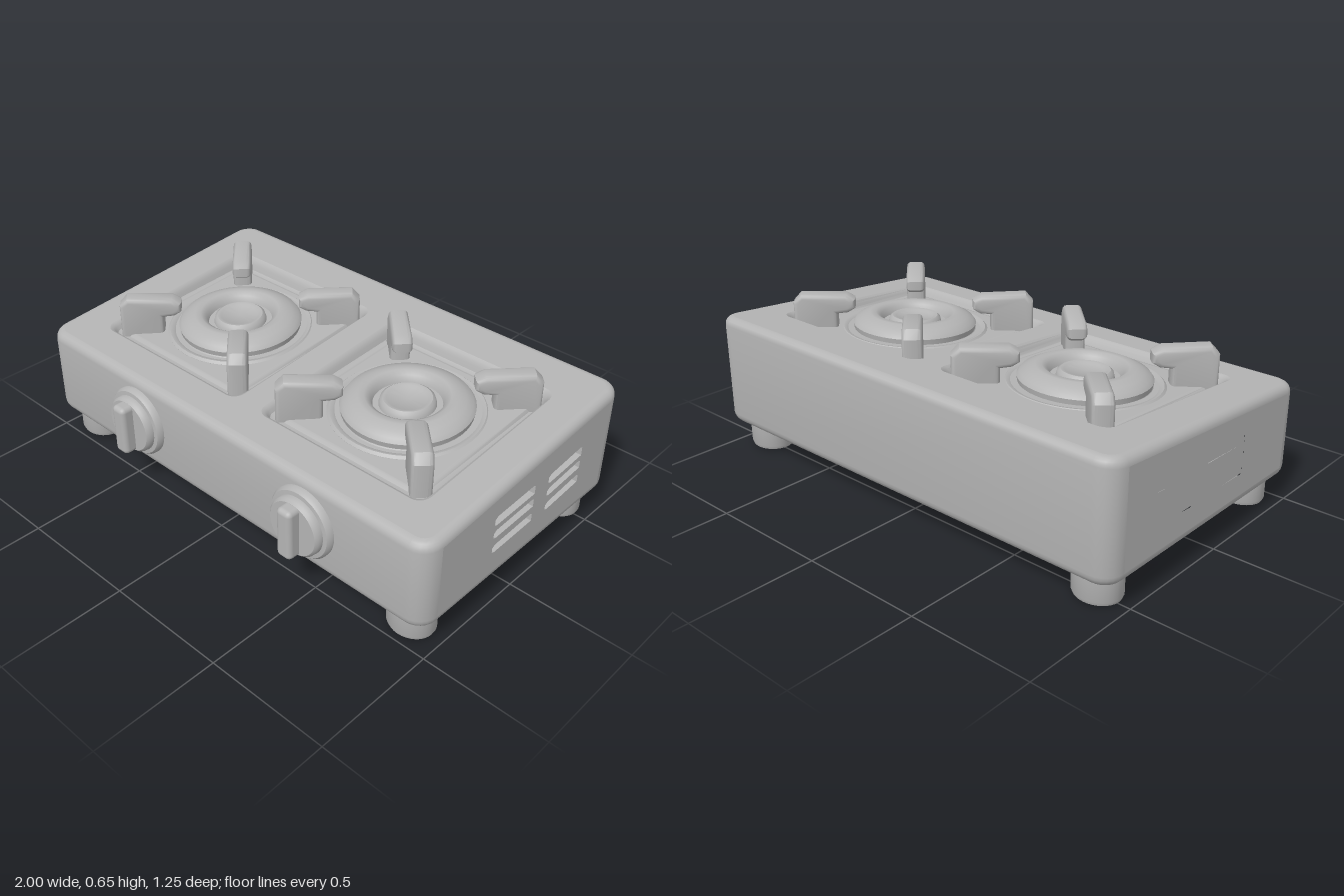
import * as THREE from 'three';
import { toCreasedNormals } from 'three/addons/utils/BufferGeometryUtils.js';
import { RoundedBoxGeometry } from 'three/addons/geometries/RoundedBoxGeometry.js';

const CZ = -0.0525, HX = 1, HZ = 0.5725, R = 0.08, STEPS = 6;
const BOTTOM = 0.11, RB = 0.045, RT = 0.035;
const BURNERS = [-0.435, 0.455], BURNER_Z = -0.04;
const WELL_Z = -0.03, WELL = 0.39;
const topY = (z) => 0.485 + (0.52 - z) * 0.079; // sloping top

// Rounded rectangle as a list of [x, z]
function roundRect(cx, cz, hx, hz, r) {
  const pts = [];
  for (let k = 0; k < 4; k++) {
    const sx = k === 0 || k === 3 ? 1 : -1, sz = k < 2 ? 1 : -1;
    for (let i = 0; i <= STEPS; i++) {
      const a = (k + i / STEPS) * Math.PI / 2;
      pts.push([cx + sx * (hx - r) + r * Math.cos(a), cz + sz * (hz - r) + r * Math.sin(a)]);
    }
  }
  return pts;
}

const ring = (pts, yOf) => pts.map(([x, z]) => [x, yOf(z), z]);

// Skin over rings; skip(i, j) leaves a face open
function loft(rings, skip = () => false) {
  const pos = [];
  for (let i = 0; i < rings.length - 1; i++) {
    const lo = rings[i], hi = rings[i + 1], n = lo.length;
    for (let j = 0; j < n; j++) {
      if (skip(i, j)) continue;
      const k = (j + 1) % n;
      pos.push(...lo[j], ...hi[j], ...lo[k], ...lo[k], ...hi[j], ...hi[k]);
    }
  }
  const g = new THREE.BufferGeometry();
  g.setAttribute('position', new THREE.Float32BufferAttribute(pos, 3));
  return toCreasedNormals(g, 0.7);
}

// Horizontal cap facing up or down, following a height rule
function cap(outline, holes, yOf, up = true) {
  const s = up ? -1 : 1;
  const toV = (list) => list.map(([x, z]) => new THREE.Vector2(x, s * z));
  const shape = new THREE.Shape(toV(outline));
  holes.forEach((h) => shape.holes.push(new THREE.Path(toV(h))));
  const g = new THREE.ShapeGeometry(shape).rotateX(s * Math.PI / 2);
  const p = g.attributes.position;
  for (let i = 0; i < p.count; i++) p.setY(i, yOf(p.getZ(i)));
  g.computeVertexNormals();
  return g;
}

const lathe = (pts, seg = 48) => toCreasedNormals(
  new THREE.LatheGeometry(pts.map(([x, y]) => new THREE.Vector2(x, y)), seg), 0.75);

export function createModel() {
  const root = new THREE.Group();
  root.name = 'twoBurnerStove';
  const grey = new THREE.MeshStandardMaterial({ color: 0xb4b4b4 });
  grey.name = 'grey';
  const add = (name, geo, parent = root) => {
    const m = new THREE.Mesh(geo, grey);
    m.name = name;
    parent.add(m);
    return m;
  };

  // Casing: rounded lower edge, straight wall, rounded upper edge
  const inset = (d) => roundRect(0, CZ, HX - d, HZ - d, R - d);
  const rings = [], ARC = 5;
  for (let i = 0; i <= ARC; i++) {
    const a = i / ARC * Math.PI / 2;
    rings.push(ring(inset(RB * (1 - Math.sin(a))), () => BOTTOM + RB * (1 - Math.cos(a))));
  }
  for (let i = 0; i <= ARC; i++) {
    const a = i / ARC * Math.PI / 2;
    rings.push(ring(inset(RT * (1 - Math.cos(a))), (z) => topY(z) - RT * (1 - Math.sin(a))));
  }
  const last = 4 * (STEPS + 1) - 1, mid = 2 * (STEPS + 1) - 1;
  add('casing', loft(rings, (i, j) => i === ARC && (j === last || j === mid)));
  add('casingBottom', cap(inset(RB), [], () => BOTTOM, false));
  const wells = BURNERS.map((x) => roundRect(x, WELL_Z, WELL, WELL, 0.05));
  add('topPlate', cap(inset(RT), wells, topY));

  // Side walls with sunken vent slots
  const slots = [];
  for (const [z0, z1, rise] of [[0.15, -0.085, 0.006], [-0.17, -0.38, 0.014]]) {
    for (const [y, h] of [[0.365, 0.04], [0.308, 0.036], [0.243, 0.036]]) {
      slots.push([[z0, y + 0.004], [z0 - 0.012, y], [z1, y + rise], [z1, y + h + rise - 0.006],
        [z1 + 0.01, y + h + rise], [z0 - 0.015, y + h - 0.002], [z0, y + h - 0.012]]);
    }
  }
  const zf = CZ + HZ - R, zb = CZ - HZ + R, depth = 0.025;
  for (const s of [1, -1]) {
    const toV = (list) => list.map(([z, y]) => new THREE.Vector2(-s * z, y));
    const wall = new THREE.Shape(toV([[zf, BOTTOM + RB], [zb, BOTTOM + RB],
      [zb, topY(zb) - RT], [zf, topY(zf) - RT]]));
    slots.forEach((p) => wall.holes.push(new THREE.Path(toV(p))));
    const g = new THREE.ExtrudeGeometry(wall, { depth, bevelEnabled: false });
    add('ventedSide', g.rotateY(s * Math.PI / 2)).position.x = s * (HX - depth);
    add('ventBack', new THREE.BoxGeometry(0.02, 0.22, 0.62))
      .position.set(s * (HX - depth - 0.01), 0.33, -0.115);
  }

  // Pot support: upright leg with a finger reaching inward
  const arm = new THREE.Shape([[0.47, 0.46], [0.47, 0.60], [0.45, 0.622], [0.28, 0.618],
    [0.258, 0.605], [0.258, 0.588], [0.275, 0.578], [0.33, 0.572], [0.33, 0.46]]
    .map(([x, y]) => new THREE.Vector2(x, y)));
  const bevel = 0.018, flat = 0.042;
  const armGeo = toCreasedNormals(new THREE.ExtrudeGeometry(arm, {
    depth: flat, bevelThickness: bevel, bevelSize: bevel, bevelSegments: 3,
  }).translate(0, 0, -flat / 2), 0.7);

  const burnerGeo = lathe([[0.30, -0.02], [0.30, 0.004], [0.29, 0.013], [0.275, 0.01],
    [0.26, -0.006], [0.248, 0.008], [0.252, 0.03], [0.24, 0.046], [0.215, 0.058],
    [0.185, 0.071], [0.16, 0.071], [0.14, 0.058], [0.13, 0.03], [0.108, 0.03],
    [0.103, 0.05], [0.092, 0.058], [0.078, 0.056], [0.07, 0.05], [0, 0.05]]);

  BURNERS.forEach((x) => {
    // Sunken well, deeper toward the back, with a raised square tray
    const steps = [[0, 0], [0.01, 0.15], [0.018, 0.5], [0.025, 0.9], [0.035, 1],
      [0.05, 1], [0.058, 0.75], [0.068, 0.7]];
    const drop = (f) => (z) => topY(z) - f * (0.042 - 0.03 * z);
    const outline = (d) => roundRect(x, WELL_Z, WELL - d, WELL - d, 0.05 - d * 0.4);
    add('well', loft(steps.map(([d, f]) => ring(outline(d), drop(f)))));
    add('wellFloor', cap(outline(0.068), [], drop(0.7)));

    const burner = add('burner', burnerGeo);
    burner.position.set(x, 0.492, BURNER_Z);
    burner.rotation.x = 0.045;

    for (let k = 0; k < 4; k++) {
      const a = Math.PI / 4 + k * Math.PI / 2;
      const support = add('potSupport', armGeo);
      support.position.set(x, k < 2 ? 0.012 : -0.003, BURNER_Z);
      support.rotation.y = a;
    }

    // Control knob with an upright grip
    const knob = new THREE.Group();
    knob.name = 'knob';
    knob.position.set(x + 0.007, 0.305, 0.515);
    root.add(knob);
    add('knobDial', lathe([[0.143, -0.01], [0.143, 0.02], [0.134, 0.032], [0.118, 0.034],
      [0.116, 0.055], [0.107, 0.064], [0, 0.064]]).rotateX(Math.PI / 2), knob);
    add('knobGrip', new RoundedBoxGeometry(0.068, 0.212, 0.07, 3, 0.02), knob).position.z = 0.078;

    // Shallow dish pressed through the underside
    add('undersideDish', lathe([[0, -0.012], [0.2, -0.01], [0.235, -0.006], [0.25, 0.003]]))
      .position.set(x, BOTTOM, BURNER_Z);
  });

  // Feet
  const footGeo = lathe([[0, 0], [0.07, 0], [0.084, 0.006], [0.09, 0.02], [0.09, 0.13]], 32)
    .scale(1.05, 1, 0.9);
  for (const x of [-0.865, 0.865]) {
    for (const z of [0.4, -0.5]) add('foot', footGeo).position.set(x, 0, z);
  }
  return root;
}
